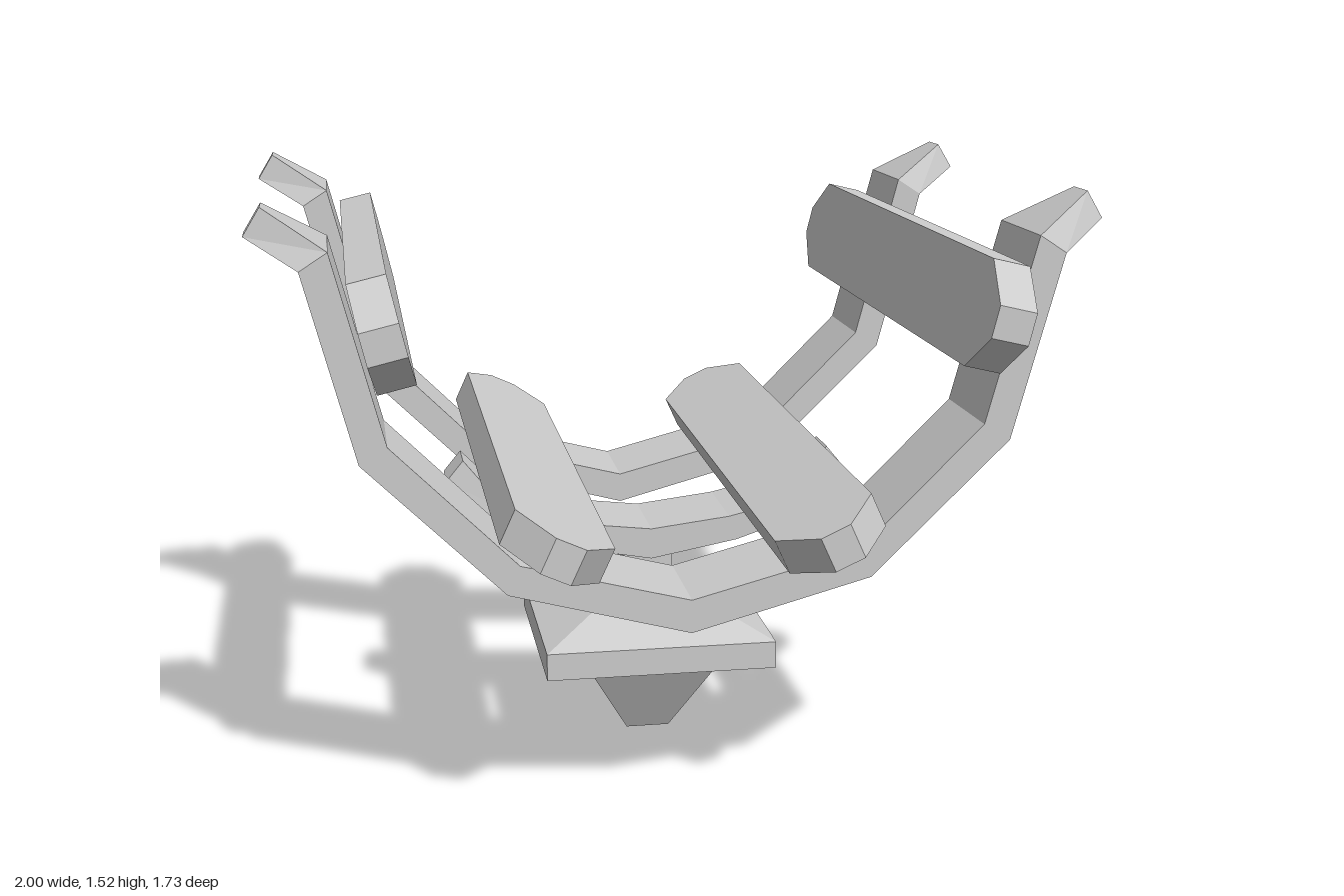
import * as THREE from 'three';

const material = new THREE.MeshStandardMaterial({ color: 0xcccccc, flatShading: true });

function add(group, name, geometry) {
  const mesh = new THREE.Mesh(geometry, material);
  mesh.name = name;
  group.add(mesh);
  return mesh;
}

// Curved beam, mirrored in x. Each section: outer x, y, inner x, y, half width in z.
function ribGeometry(half) {
  const mirrored = half.slice(1).reverse().map(([ox, oy, ix, iy, w]) => [-ox, oy, -ix, iy, w]);
  const sections = [...mirrored, ...half];
  const positions = [];
  const index = [];
  for (const [ox, oy, ix, iy, w] of sections) {
    positions.push(ox, oy, -w, ox, oy, w, ix, iy, w, ix, iy, -w);
  }
  const quad = (a, b, c, d) => index.push(a, b, c, a, c, d);
  for (let i = 0; i < sections.length - 1; i++) {
    for (let j = 0; j < 4; j++) {
      const k = (j + 1) % 4;
      quad(i * 4 + j, i * 4 + 4 + j, i * 4 + 4 + k, i * 4 + k);
    }
  }
  const e = positions.length / 3 - 4;
  quad(0, 1, 2, 3);
  quad(e + 3, e + 2, e + 1, e);
  const geometry = new THREE.BufferGeometry();
  geometry.setAttribute('position', new THREE.Float32BufferAttribute(positions, 3));
  geometry.setIndex(index);
  const flat = geometry.toNonIndexed();
  flat.computeVertexNormals();
  return flat;
}

// Plank along z with its four corners cut off
function plankGeometry(width, thickness) {
  const w = width / 2, t = width * 0.15, end = 0.863, cut = 0.745;
  const outline = [[-w, -cut], [-t, -end], [t, -end], [w, -cut], [w, cut], [t, end], [-t, end], [-w, cut]];
  const shape = new THREE.Shape(outline.map(([x, y]) => new THREE.Vector2(x, y)));
  return new THREE.ExtrudeGeometry(shape, { depth: thickness, bevelEnabled: false })
    .translate(0, 0, -thickness / 2)
    .rotateX(Math.PI / 2);
}

export function createModel() {
  const model = new THREE.Group();
  model.name = 'cradle';

  // Large front and back ribs with tapered, outward-bent tips
  const ribSections = [
    [0, 0.503, 0, 0.585, 0.135],
    [0.435, 0.62, 0.405, 0.69, 0.135],
    [0.765, 0.945, 0.7, 0.985, 0.135],
    [0.88, 1.388, 0.815, 1.43, 0.135],
    [1.0, 1.455, 0.96, 1.52, 0.043],
  ];
  for (const [name, z] of [['frontRib', 0.573], ['backRib', -0.573]]) {
    add(model, name, ribGeometry(ribSections)).position.z = z;
  }

  // Short middle rib above the foot
  add(model, 'middleRib', ribGeometry([
    [0, 0.503, 0, 0.585, 0.122],
    [0.23, 0.545, 0.21, 0.61, 0.122],
    [0.42, 0.607, 0.38, 0.65, 0.122],
    [0.535, 0.72, 0.49, 0.775, 0.055],
  ]));

  // Tilted planks lying along the ribs, mirrored left and right
  const planks = [
    ['LowerPlank', 0.322, 0.745, 0.253, 0.09, 0.43],
    ['UpperPlank', 0.705, 1.25, 0.257, 0.091, 1.337],
  ];
  for (const [name, x, y, width, thickness, angle] of planks) {
    for (const side of [1, -1]) {
      const plank = add(model, (side > 0 ? 'left' : 'right') + name, plankGeometry(width, thickness));
      plank.position.set(side * x, y, 0);
      plank.rotation.z = side * angle;
    }
  }

  // Square foot: tapered peg, wide collar and neck
  const profile = [[0, 0], [0.058, 0], [0.17, 0.205], [0.302, 0.243], [0.302, 0.315], [0.066, 0.42], [0.066, 0.53], [0, 0.53]];
  const points = profile.map(([r, y]) => new THREE.Vector2(r * Math.SQRT2, y));
  add(model, 'foot', new THREE.LatheGeometry(points, 4).rotateY(Math.PI / 4));

  return model;
}
